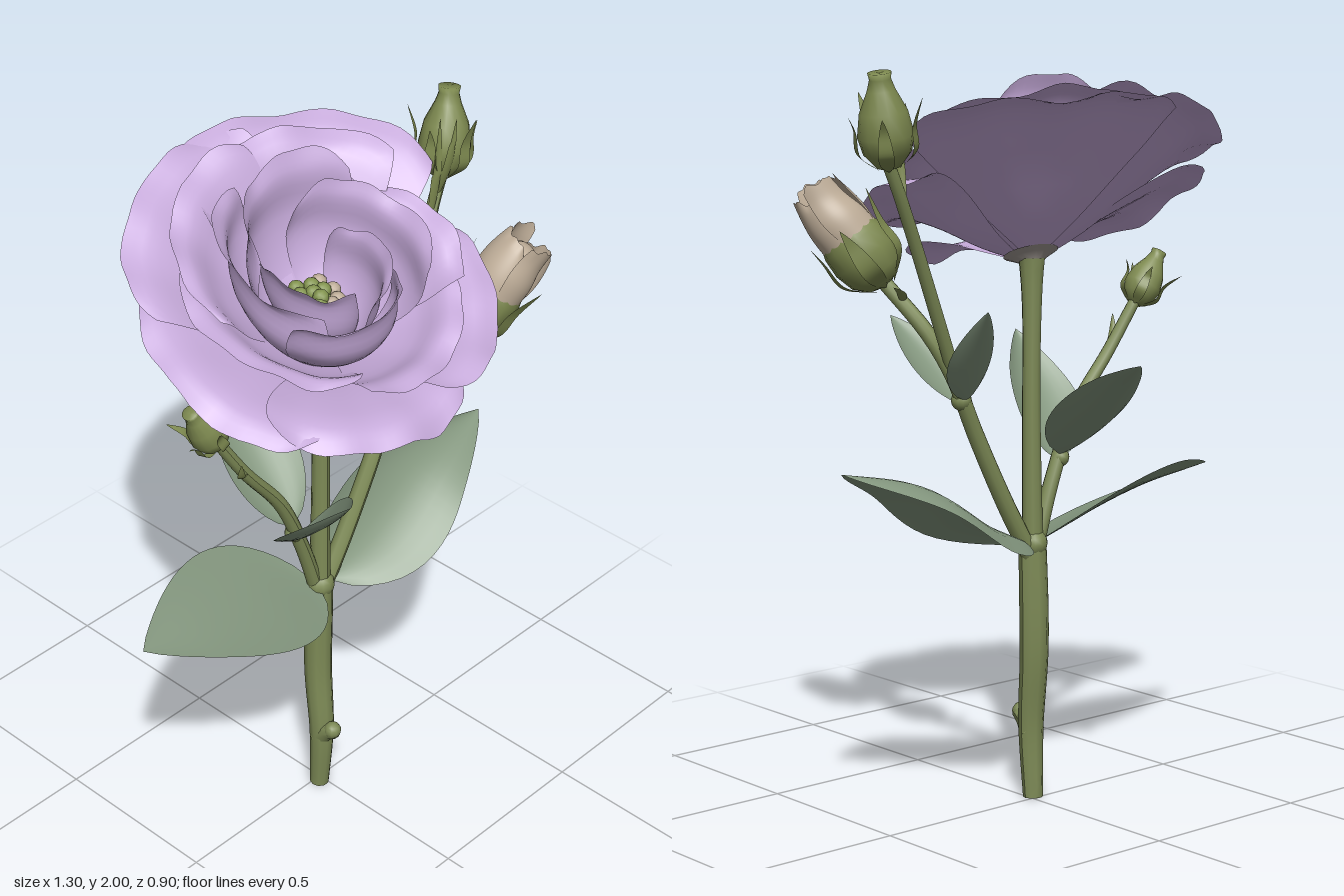
import * as THREE from 'three';

const V = (a) => new THREE.Vector3(...a);
const curve = (pts) => new THREE.CatmullRomCurve3(pts.map(V));
const mat = (name, color, side = THREE.FrontSide) => {
  const m = new THREE.MeshStandardMaterial({ color, side });
  m.name = name;
  return m;
};
const M = {
  petal: mat('lilac petal', 0xc8acdc, THREE.DoubleSide),
  leaf: mat('grey green leaf', 0x84977f, THREE.DoubleSide),
  stem: mat('stem green', 0x7d8a56, THREE.DoubleSide),
  bud: mat('bud green', 0x7e8a50, THREE.DoubleSide),
  cream: mat('cream bud petal', 0xbfae99, THREE.DoubleSide),
  stamen: mat('stamen green', 0x849650),
  calyx: mat('pale calyx', 0xa29a94, THREE.DoubleSide),
};

function add(parent, name, geo, material) {
  const mesh = new THREE.Mesh(geo, material);
  mesh.name = name;
  parent.add(mesh);
  return mesh;
}

// Grid surface from f(u, v), u in -1..1 and v in 0..1
function sheet(nu, nv, f) {
  const geo = new THREE.PlaneGeometry(2, 1, nu, nv);
  const p = geo.attributes.position;
  for (let i = 0; i < p.count; i++) {
    const q = f(p.getX(i), p.getY(i) + 0.5);
    p.setXYZ(i, q.x, q.y, q.z);
  }
  geo.computeVertexNormals();
  return geo;
}

// Tube whose radius follows r(t)
function taperedTube(pts, r, seg = 24, sides = 10) {
  const c = curve(pts);
  const geo = new THREE.TubeGeometry(c, seg, 1, sides);
  const p = geo.attributes.position, q = new THREE.Vector3();
  for (let i = 0; i < p.count; i++) {
    const t = Math.floor(i / (sides + 1)) / seg;
    const o = c.getPointAt(t);
    q.fromBufferAttribute(p, i).sub(o).multiplyScalar(r(t)).add(o);
    p.setXYZ(i, q.x, q.y, q.z);
  }
  geo.computeVertexNormals();
  return geo;
}

// Pointed oval blade along a midrib, edges cupped upwards (or drooping if negative)
function blade(pts, side, half, cup = 0.03) {
  const c = curve(pts), s = V(side).normalize();
  return sheet(10, 20, (u, v) => {
    const n = c.getTangentAt(v).cross(s).normalize();
    if (n.y < 0) n.negate();
    const w = Math.pow(Math.max(0, Math.sin(Math.PI * Math.pow(v, 0.75))), 0.85);
    return c.getPointAt(v).addScaledVector(s, u * half * w)
      .addScaledVector(n, cup * w * (u * u - 0.25));
  });
}

// Petal swept round an axis; profile points are [radius, height], lean shifts it back as it rises
function petal({ a, w, prof, swirl = 0.1, ruffle = 0.015, round = 0.16, seed = 0, lean = 0 }) {
  const c = curve(prof.map(([r, h]) => [r, h, 0]));
  const A = THREE.MathUtils.degToRad(a), W = THREE.MathUtils.degToRad(w);
  return sheet(28, 16, (u, v) => {
    const wave = Math.sin(u * 5 + seed) + 0.6 * Math.sin(u * 11 + seed * 2.3);
    const k = v * (1 - round * u ** 4 + 0.012 * Math.sin(u * 14 + seed) * v);
    const p = c.getPoint(Math.min(1, k));
    const th = A + u * W * (0.8 + 0.2 * Math.sin(v * Math.PI * 0.8));
    const r = p.x * (1 + swirl * u * v);
    return new THREE.Vector3(r * Math.cos(th), p.y + ruffle * wave * v ** 3 + 0.02 * u * v,
      r * Math.sin(th) - lean * p.y);
  });
}

function makeFlower() {
  const g = new THREE.Group();
  g.name = 'flower';
  const lean = 0.25;
  // Wide outer petals: angle, half width, radius, tip height
  [[175, 44, 0.5, 0.16], [112, 44, 0.47, 0.16], [38, 52, 0.46, 0.2],
    [-58, 50, 0.54, 0.25], [-118, 48, 0.52, 0.24]].forEach(([a, w, R, h], i) => {
    const prof = [[0.015, 0], [0.14, 0.065], [R * 0.62, h * 0.5 + 0.06], [R * 0.86, h * 0.85 + 0.04], [R, h]];
    add(g, 'outerPetal', petal({ a, w, prof, swirl: 0.02, ruffle: 0.013, seed: i * 1.7, lean }), M.petal);
  });
  // Rising middle petals that fold outwards
  [[165, 55, 0.37, 0.25], [68, 52, 0.38, 0.25], [-10, 52, 0.36, 0.27], [-68, 50, 0.42, 0.3], [-128, 52, 0.4, 0.29]]
    .forEach(([a, w, R, h], i) => {
      const prof = [[0.015, 0.02], [0.13, 0.09], [R * 0.66, h * 0.68], [R * 0.86, h * 0.96], [R, h]];
      add(g, 'middlePetal', petal({ a, w, prof, swirl: 0.1, ruffle: 0.012, seed: 2 + i * 2.1, lean }), M.petal);
    });
  // Upright inner petals in a spiral
  [[195, 68, 0.25, 0.35], [95, 62, 0.23, 0.34], [-15, 64, 0.23, 0.35], [-95, 66, 0.23, 0.38],
    [150, 70, 0.15, 0.33], [25, 70, 0.15, 0.32]].forEach(([a, w, R, h], i) => {
    const prof = [[0.015, 0.03], [R * 0.62, 0.1], [R * 0.92, h * 0.6], [R * 0.95, h * 0.88], [R * 1.06, h]];
    add(g, 'innerPetal', petal({ a, w, prof, swirl: 0.22, ruffle: 0.01, round: 0.25, seed: 1 + i * 1.3, lean }), M.petal);
  });
  // Knobbly centre
  for (let i = 0; i < 20; i++) {
    const r = 0.019 * Math.sqrt(i), th = i * 2.4;
    const knob = add(g, 'stamen', new THREE.IcosahedronGeometry(0.022, 1), i % 5 < 3 ? M.stamen : M.cream);
    knob.position.set(r * Math.cos(th), 0.17 - r * 0.5, r * Math.sin(th) - 0.05);
  }
  add(g, 'pistil', new THREE.CylinderGeometry(0.05, 0.02, 0.14, 10).translate(0, 0.08, -0.025), M.stamen);
  // Pale cup under the bloom
  const cup = [[0.02, -0.015], [0.034, 0.002], [0.055, 0.014], [0.075, 0.024]];
  add(g, 'calyx', new THREE.LatheGeometry(cup.map(([r, y]) => new THREE.Vector2(r, y)), 16), M.calyx);
  g.position.set(0, 1.48, 0);
  g.rotation.set(0.4, 0, 0.1);
  return g;
}

// Bud standing on base and pointing at tip, with sepals round it
function makeBud(name, base, tip, radius, open, sepalSpread) {
  const g = new THREE.Group();
  g.name = name;
  const dir = V(tip).sub(V(base)), L = dir.length(), R = radius;
  const outline = open
    ? [[0.01, 0], [0.5, 0.04], [0.85, 0.14], [1, 0.3], [0.97, 0.46], [0.87, 0.54]]
    : [[0.01, 0], [0.45, 0.04], [0.85, 0.18], [1, 0.36], [0.85, 0.6], [0.5, 0.82], [0.38, 0.93], [0.42, 1], [0.01, 0.99]];
  add(g, 'budBody', new THREE.LatheGeometry(outline.map(([r, y]) => new THREE.Vector2(r * R, y * L)), 14), M.bud);
  if (open) {
    for (let i = 0; i < 4; i++) {
      const prof = [[R * 0.9, L * 0.46], [R * 0.88, L * 0.66], [R * 0.74, L * 0.85], [R * (0.62 + 0.1 * (i % 2)), L * (0.94 + 0.06 * (i % 2))]];
      add(g, 'budPetal', petal({ a: i * 90, w: 62, prof, swirl: 0.16, ruffle: 0.006, seed: i }), M.cream);
    }
    add(g, 'budHeart', new THREE.SphereGeometry(R * 0.62, 10, 8).translate(0, L * 0.76, 0), M.cream);
  }
  for (let i = 0; i < 5; i++) {
    const th = i * Math.PI * 0.4 + 0.4, c = Math.cos(th), s = Math.sin(th);
    const at = (r, y) => [c * r * R, y * L, s * r * R];
    const pts = [at(0.3, 0), at(1.05, 0.2), at(1.1, 0.45), at(sepalSpread * (i % 2 ? 1 : 0.85), i % 2 ? 0.75 : 0.6)];
    add(g, 'sepal', blade(pts, [-s, 0, c], R * 0.28, 0), M.bud);
  }
  g.quaternion.setFromUnitVectors(new THREE.Vector3(0, 1, 0), dir.normalize());
  g.position.copy(V(base));
  return g;
}

export function createModel() {
  const root = new THREE.Group();
  root.name = 'cutFlower';

  // Stems
  const stem = (name, pts, r) => add(root, name, taperedTube(pts, r), M.stem);
  stem('mainStem', [[-0.013, 0, 0.012], [-0.014, 0.2, 0.022], [-0.008, 0.42, 0.002], [-0.004, 0.72, 0.004]],
    (t) => 0.028 + 0.012 * Math.sin(t * Math.PI * 0.7));
  add(root, 'stemCut', new THREE.CircleGeometry(0.028, 10).rotateX(Math.PI / 2).translate(-0.013, 0.001, 0.012), M.stem);
  stem('flowerStem', [[-0.003, 0.68, 0.003], [0.004, 1.1, 0], [0.002, 1.36, 0], [0, 1.49, 0.003]],
    (t) => 0.03 - 0.006 * Math.sin(t * Math.PI * 0.6) + 0.012 * t ** 8);
  stem('rightBranch', [[0.005, 0.68, 0], [0.09, 0.83, 0.005], [0.19, 1.03, 0.01], [0.27, 1.2, 0.01], [0.32, 1.31, 0.05], [0.39, 1.45, 0.155]],
    (t) => 0.026 - 0.006 * t);
  stem('upperRightBranch', [[0.25, 1.16, 0.01], [0.33, 1.34, -0.01], [0.43, 1.56, -0.035], [0.5, 1.7, -0.055], [0.535, 1.77, -0.06]],
    (t) => 0.019 - 0.002 * t);
  stem('leftBranch', [[-0.005, 0.68, 0], [-0.07, 0.88, 0], [-0.15, 1.06, 0], [-0.27, 1.22, -0.01], [-0.355, 1.36, -0.03]],
    (t) => 0.023 - 0.007 * t);

  // Swollen nodes and trimmed spur
  [[-0.003, 0.715, 0.003, 0.042], [-0.1, 0.94, 0, 0.026], [0.24, 1.13, 0.01, 0.028]].forEach(([x, y, z, r]) =>
    add(root, 'node', new THREE.SphereGeometry(r, 12, 8), M.stem).position.set(x, y, z));
  stem('stemSpur', [[-0.014, 0.18, 0.015], [-0.018, 0.215, 0.05], [-0.02, 0.23, 0.075]], (t) => 0.034 - 0.01 * t);
  add(root, 'spurTip', new THREE.SphereGeometry(0.025, 10, 8), M.stem).position.set(-0.02, 0.23, 0.07);

  // Leaves: midrib, sideways direction, half width, cupping
  [
    ['lowerRightLeaf', [[-0.01, 0.715, 0], [-0.22, 0.785, 0], [-0.44, 0.835, 0], [-0.66, 0.86, 0]], [0, -0.42, 0.9], 0.185, 0.02],
    ['lowerLeftLeaf', [[0.02, 0.715, 0], [0.2, 0.785, 0], [0.4, 0.91, 0], [0.64, 0.98, 0.01]], [0, -0.03, 1], 0.188, -0.065],
    ['frontLeaf', [[-0.1, 0.93, 0.01], [-0.16, 1.06, 0.14], [-0.19, 1.15, 0.23], [-0.22, 1.25, 0.32]], [1, 0.1, 0.1], 0.11, 0.04],
    ['backLeaf', [[-0.09, 0.95, -0.01], [-0.05, 1.08, -0.19], [-0.01, 1.18, -0.33], [0.03, 1.25, -0.45]], [1, 0.1, 0.1], 0.115, 0.04],
    ['upperFrontLeaf', [[0.235, 1.12, 0.02], [0.265, 1.22, 0.11], [0.3, 1.34, 0.23]], [1, -0.1, 0], 0.075, 0.025],
    ['upperBackLeaf', [[0.24, 1.13, -0.01], [0.285, 1.25, -0.1], [0.33, 1.39, -0.205]], [1, -0.1, 0], 0.075, 0.025],
  ].forEach(([name, pts, side, half, cup]) => add(root, name, blade(pts, side, half, cup), M.leaf));

  // Small bracts on the upper branches
  [
    [[0.36, 1.39, 0.1], [0.4, 1.42, 0.06], [0.44, 1.44, 0.04]],
    [[0.47, 1.64, -0.045], [0.475, 1.78, -0.03], [0.49, 1.95, -0.035]],
    [[0.5, 1.7, -0.05], [0.5, 1.82, -0.01], [0.515, 1.95, 0]],
    [[-0.27, 1.22, -0.01], [-0.32, 1.25, 0.03], [-0.34, 1.31, 0.05]],
  ].forEach((pts) => add(root, 'bract', blade(pts, [1, 0, 0.4], 0.013, 0.004), M.bud));

  // Buds and bloom
  root.add(makeBud('openingBud', [0.38, 1.43, 0.145], [0.53, 1.69, 0.265], 0.09, true, 1.35));
  root.add(makeBud('topBud', [0.53, 1.75, -0.06], [0.575, 1.995, -0.08], 0.072, false, 1.5));
  root.add(makeBud('smallBud', [-0.345, 1.34, -0.028], [-0.435, 1.48, -0.035], 0.052, false, 1.7));
  root.add(makeFlower());
  return root;
}
